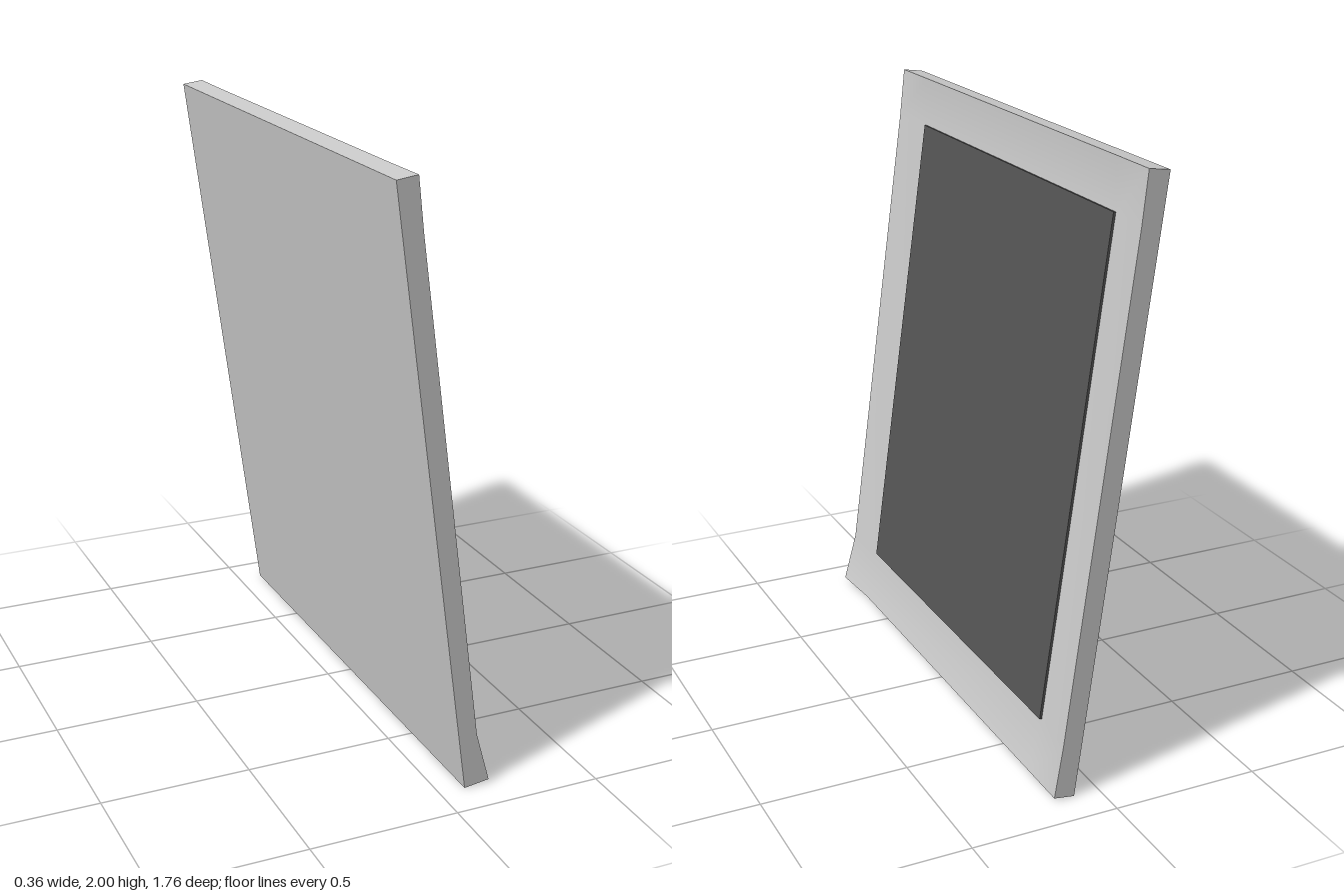
import * as THREE from 'three';

const WIDTH = 1.76, LENGTH = 2.008;
const COLS = [-0.88, -0.69, 0.69, 0.88];   // across the slab
const ROWS = [0, 0.178, 1.84, LENGTH];     // along the slab, bottom to top
// Front surface height above the flat back, row by row: a shallow dish with one raised corner
const HEIGHTS = [
  [0.087, 0.071, 0.071, 0.071],
  [0.063, 0.044, 0.044, 0.066],
  [0.067, 0.044, 0.044, 0.067],
  [0.071, 0.069, 0.069, 0.071],
];

// Slab: a 3 x 3 box whose grid lines are moved to the frame borders
function frameGeometry() {
  const geo = new THREE.BoxGeometry(3, 3, 1, 3, 3, 1);
  const p = geo.attributes.position;
  for (let k = 0; k < p.count; k++) {
    const i = Math.round(p.getX(k) + 1.5), j = Math.round(p.getY(k) + 1.5);
    p.setXYZ(k, COLS[i], ROWS[j], p.getZ(k) > 0 ? HEIGHTS[j][i] : 0);
  }
  geo.computeVertexNormals();
  return geo;
}

export function createModel() {
  const model = new THREE.Group();
  model.name = 'leaningPanel';

  // The slab faces +x and leans back
  const slab = new THREE.Group();
  slab.name = 'slab';
  slab.rotation.order = 'ZYX';
  slab.rotation.set(0, Math.PI / 2, 0.1348);
  slab.position.x = 0.088;
  model.add(slab);

  const frame = new THREE.Mesh(frameGeometry(), new THREE.MeshStandardMaterial({ color: 0xcccccc }));
  frame.name = 'frame';
  slab.add(frame);

  // Thin dark panel set on the bottom of the dish
  const height = ROWS[2] - ROWS[1];
  const screen = new THREE.Mesh(
    new THREE.BoxGeometry(COLS[2] - COLS[1], height, 0.03),
    new THREE.MeshStandardMaterial({ color: 0x555555 }));
  screen.name = 'screen';
  screen.position.set(0, ROWS[1] + height / 2, 0.037);
  slab.add(screen);

  return model;
}
